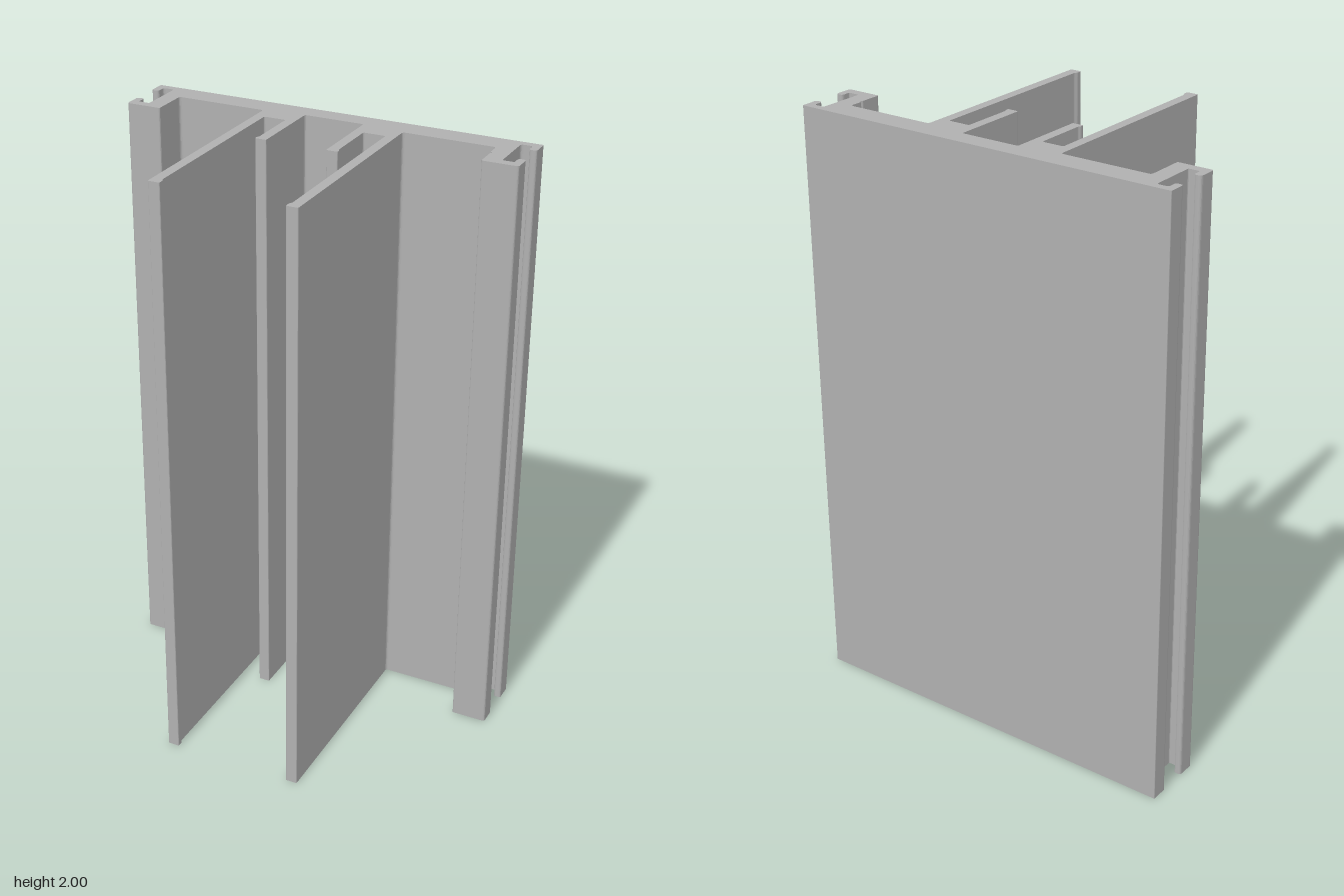
import * as THREE from 'three';

// Half cross-section as [x, z, corner radius], from the back corner to the middle recess.
const slot = [
  [0.665, -0.403, 0.003], [0.665, -0.343, 0.008], [0.64, -0.343, 0.01], [0.64, -0.378, 0.01],
  [0.602, -0.378, 0.01], [0.602, -0.22, 0.005], [0.64, -0.22, 0.005], [0.64, -0.253, 0.01],
  [0.665, -0.253, 0.01], [0.665, -0.19, 0.008], [0.547, -0.19, 0.006],
];
const ribs = [
  // long leg with a small toe
  [0.241, -0.32, 0.01], [0.241, 0.4, 0.004], [0.202, 0.4, 0.004], [0.202, 0.381, 0.003], [0.208, 0.37, 0.003],
  [0.208, -0.264, 0.006],
  // short rib with a small toe
  [0.134, -0.264, 0.006], [0.134, -0.088, 0.003], [0.139, -0.08, 0.003], [0.139, -0.068, 0.004],
  [0.101, -0.068, 0.004], [0.101, -0.336, 0.008],
];
// tiny groove on one slot wall
const groove = [[0.547, -0.262, 0.002], [0.552, -0.267, 0.002], [0.544, -0.275, 0.002]];

function roundedShape(points) {
  const shape = new THREE.Shape();
  const n = points.length;
  points.forEach(([x, y, r], i) => {
    const p = new THREE.Vector2(x, y);
    const toward = ([qx, qy]) => {
      const d = new THREE.Vector2(qx - x, qy - y);
      return d.setLength(Math.min(r, d.length() * 0.45)).add(p);
    };
    const a = toward(points[(i + n - 1) % n]);
    const b = toward(points[(i + 1) % n]);
    if (i === 0) shape.moveTo(a.x, a.y);
    else shape.lineTo(a.x, a.y);
    shape.quadraticCurveTo(x, y, b.x, b.y);
  });
  shape.closePath();
  return shape;
}

export function createModel() {
  const group = new THREE.Group();
  group.name = 'extrudedRail';
  const aluminium = new THREE.MeshStandardMaterial({ color: 0xb0b0b0 });
  aluminium.name = 'plain aluminium';

  // The inner ribs sit slightly off-centre.
  const shift = -0.002;
  const right = [...slot, [0.547, -0.32, 0.01]].map(([x, z, r]) => [-x, -z, r])
    .concat(ribs.map(([x, z, r]) => [-x + shift, -z, r]));
  const left = [...slot, ...groove, [0.544, -0.32, 0.01]].map(([x, z, r]) => [x, -z, r])
    .concat(ribs.map(([x, z, r]) => [x + shift, -z, r]));

  // One constant section, pulled straight up
  const geometry = new THREE.ExtrudeGeometry(roundedShape([...right, ...left.reverse()]), {
    depth: 2, bevelEnabled: false, curveSegments: 4,
  });
  geometry.rotateX(-Math.PI / 2);
  const profile = new THREE.Mesh(geometry, aluminium);
  profile.name = 'railProfile';
  group.add(profile);
  return group;
}
